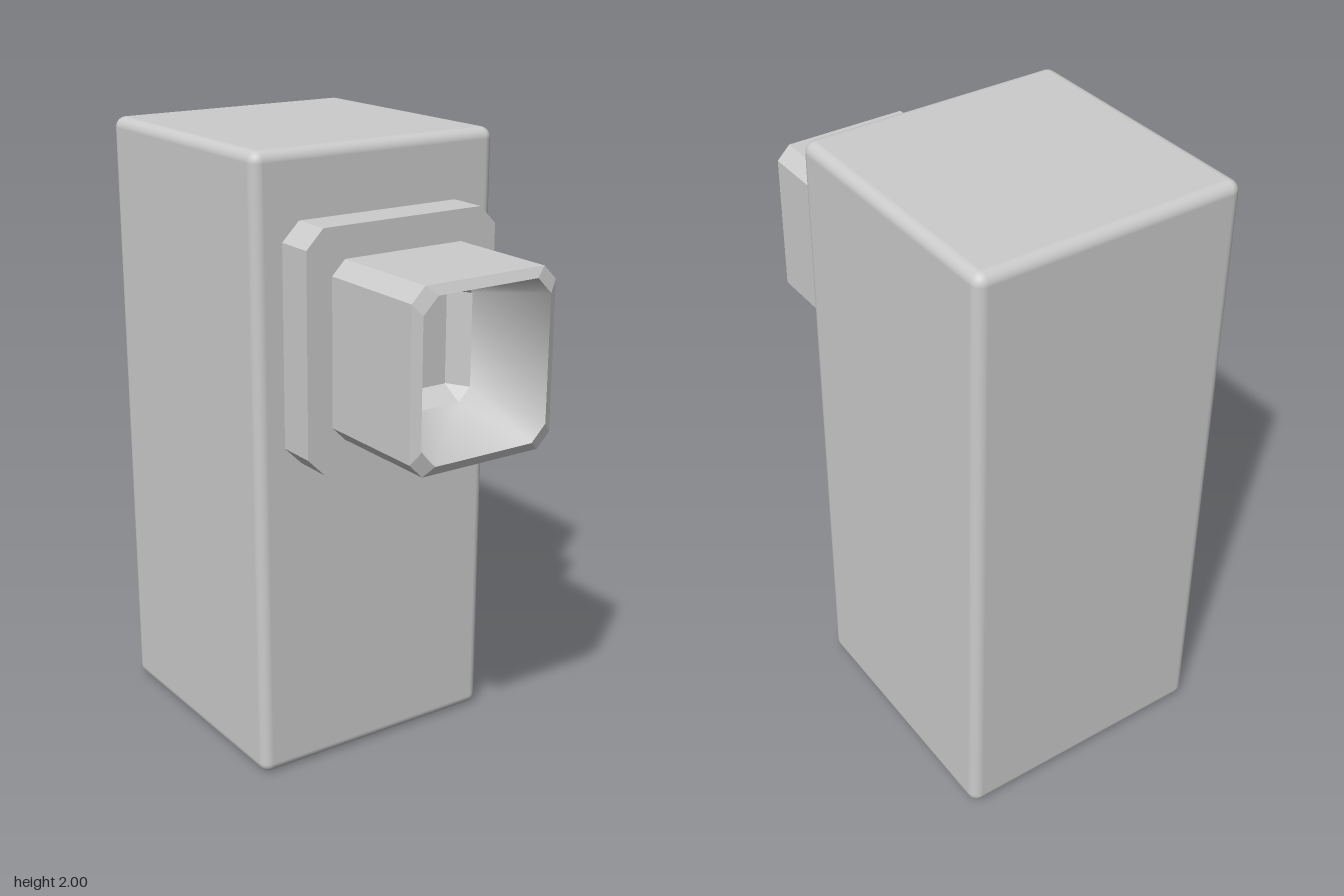
import * as THREE from 'three';
import { RoundedBoxGeometry } from 'three/addons/geometries/RoundedBoxGeometry.js';
import { toCreasedNormals } from 'three/addons/utils/BufferGeometryUtils.js';

const AXIS_Y = 1.418; // height of the spout axis

// Chamfered rectangle, counter-clockwise seen from +z: half width, half height, chamfer, depth
function ring([w, h, c, z]) {
  return [
    [w, -h + c, z], [w, h - c, z], [w - c, h, z], [-w + c, h, z],
    [-w, h - c, z], [-w, -h + c, z], [-w + c, -h, z], [w - c, -h, z],
  ];
}

// Skin consecutive rings; optionally close the last ring with a cap facing +z
function loft(sections, cap = false, crease = 0.1) {
  const rings = sections.map(ring);
  const pos = [];
  const tri = (...pts) => pts.forEach((p) => pos.push(...p));
  for (let s = 0; s < rings.length - 1; s++) {
    const a = rings[s], b = rings[s + 1];
    for (let i = 0; i < 8; i++) {
      const j = (i + 1) % 8;
      tri(a[i], a[j], b[j]);
      tri(a[i], b[j], b[i]);
    }
  }
  if (cap) {
    const r = rings[rings.length - 1];
    for (let i = 1; i < 7; i++) tri(r[0], r[i], r[i + 1]);
  }
  const geo = new THREE.BufferGeometry();
  geo.setAttribute('position', new THREE.Float32BufferAttribute(pos, 3));
  geo.computeVertexNormals();
  return toCreasedNormals(geo, crease);
}

export function createModel() {
  const group = new THREE.Group();
  const material = new THREE.MeshStandardMaterial({ color: 0xcccccc, side: THREE.DoubleSide });

  const add = (name, geometry, y, z = 0) => {
    const mesh = new THREE.Mesh(geometry, material);
    mesh.name = name;
    mesh.position.set(0, y, z);
    group.add(mesh);
  };

  // Tall block with softly rounded edges
  add('body', new RoundedBoxGeometry(0.872, 2, 0.875, 4, 0.035), 1, -0.2625);

  // Chamfered mounting plate
  add('flange', loft([[0.342, 0.373, 0.058, 0.15], [0.342, 0.373, 0.058, 0.303]], true), AXIS_Y);

  // Square spout with sloping rim
  add('spout', loft([
    [0.255, 0.275, 0.045, 0.29],
    [0.255, 0.275, 0.045, 0.685],
    [0.226, 0.246, 0.05, 0.7],
  ]), AXIS_Y);

  // Tapering bore, softly shaded around its corners
  add('bore', loft([[0.226, 0.246, 0.05, 0.7], [0.167, 0.188, 0.042, 0.42]], false, 0.9), AXIS_Y);

  // Faceted end of the bore
  add('boreEnd', loft([[0.167, 0.188, 0.042, 0.42], [0.125, 0.146, 0.001, 0.35]], true), AXIS_Y);

  return group;
}
